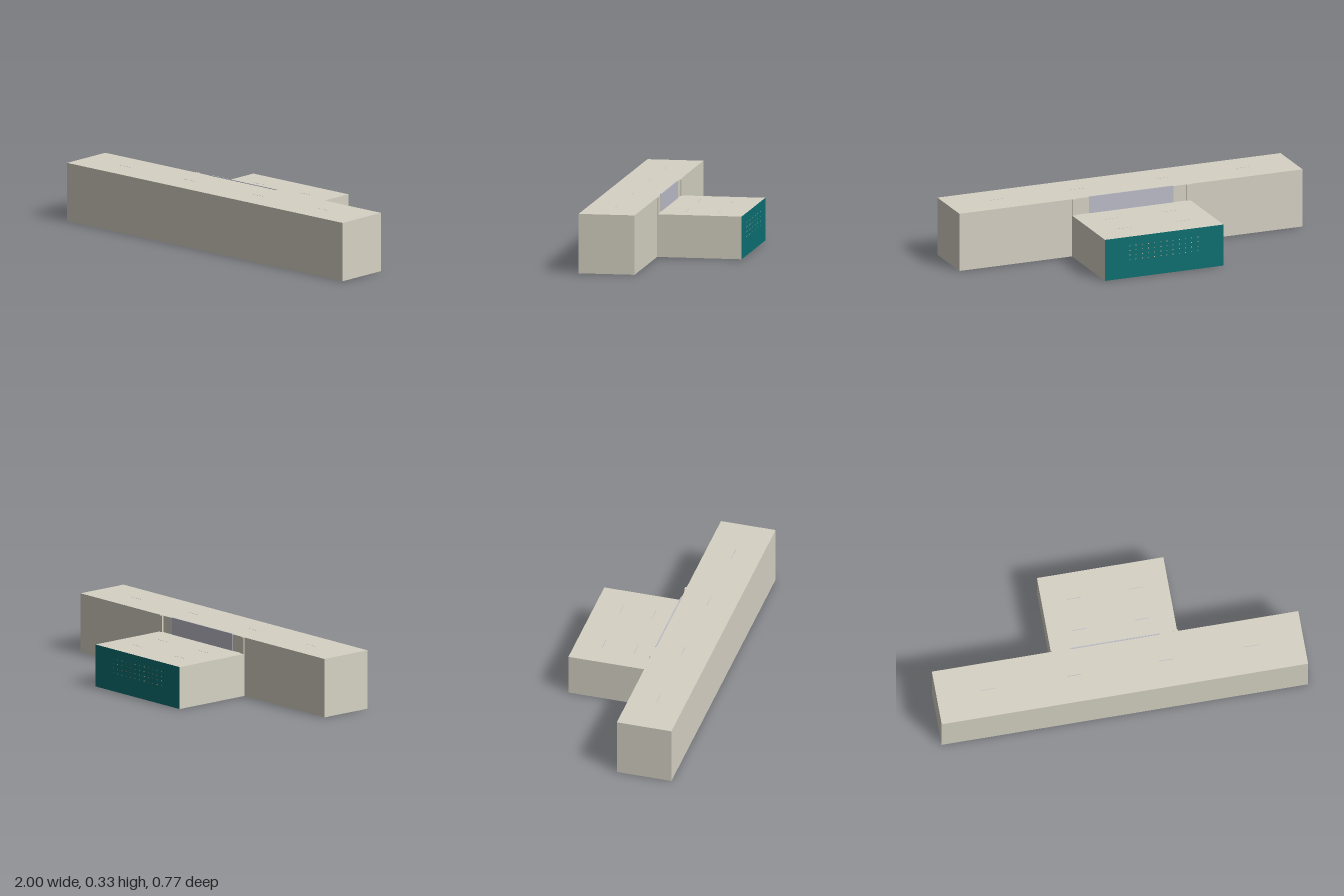
import * as THREE from 'three';

const mat = (name, color) => {
  const m = new THREE.MeshStandardMaterial({ color });
  m.name = name;
  return m;
};

export function createModel() {
  const wall = mat('warm grey wall', 0xd6d2c4);
  const floor = mat('brown grey floor', 0xa49b91);
  const teal = mat('teal wall', 0x0c7073);
  const glass = mat('grey blue glass', 0xbcbdc8);
  const peach = mat('peach trim', 0xe0b89a);
  const black = mat('black trim', 0x141414);

  const model = new THREE.Group();
  model.name = 'building';

  // Box given by its lower and upper limits on each axis
  const box = (name, material, [x0, x1], [y0, y1], [z0, z1]) => {
    const mesh = new THREE.Mesh(new THREE.BoxGeometry(x1 - x0, y1 - y0, z1 - z0), material);
    mesh.position.set((x0 + x1) / 2, (y0 + y1) / 2, (z0 + z1) / 2);
    mesh.name = name;
    model.add(mesh);
    return mesh;
  };
  const around = (c, size) => [c - size / 2, c + size / 2];

  // Long hall with a darker floor underneath (material order: +x -x +y -y +z -z)
  box('hall', [wall, wall, wall, floor, wall, wall], [-1, 1], [0, 0.323], [0.078, 0.384]);

  // Lower room behind the hall, with a teal back wall
  box('backRoom', [wall, wall, wall, wall, wall, teal], [-0.345, 0.345], [0, 0.232], [-0.384, 0.078]);

  // Window above the back room, rising just past the roof
  box('rearWindow', glass, [-0.245, 0.245], [0.225, 0.326], [0.075, 0.081]);

  // Pilasters where the two rooms meet
  for (const s of [-1, 1]) {
    box('pilaster', wall, around(s * 0.333, 0.024), [0, 0.323], [0.07, 0.079]);
  }

  // Ceiling light strips showing on both roofs
  for (const x of [-0.72, -0.25, 0.25, 0.72]) {
    box('hallLight', glass, around(x, 0.08), [0.32, 0.3235], around(0.231, 0.003));
  }
  for (const x of [-0.17, 0.17]) {
    for (const z of [-0.235, -0.055]) {
      box('roomLight', glass, around(x, 0.08), [0.229, 0.2325], around(z, 0.003));
    }
  }

  // Rows of small pegs on the teal wall
  for (let row = 0; row < 4; row++) {
    for (let i = 0; i < 12; i++) {
      box('wallPeg', peach, around(0.2 - i * 0.036, 0.006), around(0.18 - row * 0.026, 0.004), [-0.3845, -0.38]);
    }
  }

  // Thin plates under the back room: x, z, width, depth
  const plates = [
    [-0.3, -0.16, 0.025, 0.3, black],
    [0.325, -0.2, 0.01, 0.12, black],
    [0.05, -0.34, 0.06, 0.008, black],
    [-0.09, -0.34, 0.05, 0.008, black],
    [-0.235, -0.365, 0.04, 0.008, black],
    [0.257, 0, 0.1, 0.06, floor],
  ];
  for (const [x, z, w, d, m] of plates) {
    box('floorPlate', m, around(x, w), [-0.0005, 0.003], around(z, d));
  }

  return model;
}
